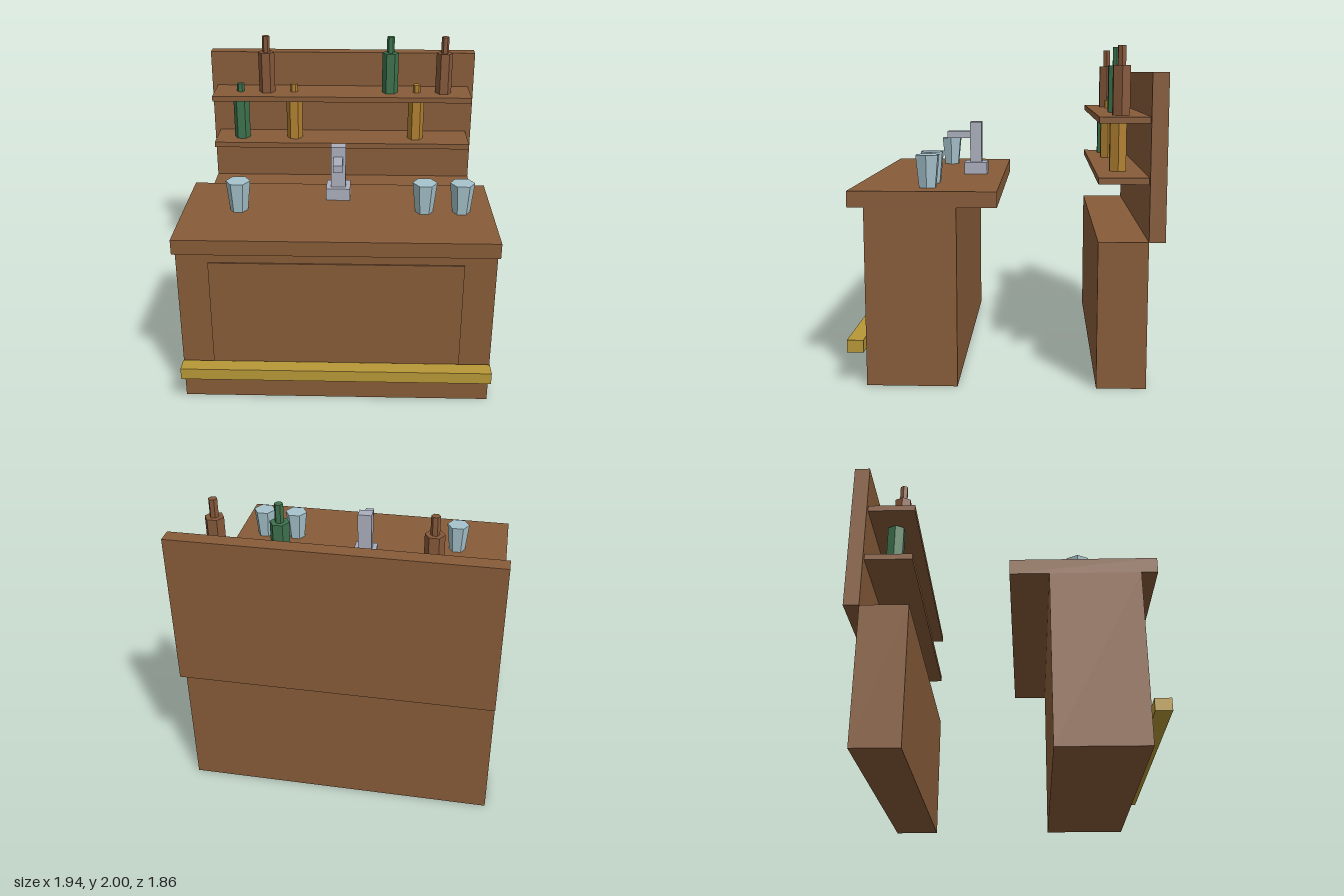
import * as THREE from 'three';

const material = (name, color, extra = {}) => {
  const m = new THREE.MeshStandardMaterial({ color, ...extra });
  m.name = name;
  return m;
};

export function createModel() {
  const wood = material('wood', 0x885c39);
  const brass = material('brass', 0xb89838);
  const metal = material('metal', 0xabafbd);
  const glass = material('pale glass', 0xa6c3cc);
  const green = material('green glass', 0x3e724d);
  const amber = material('amber glass', 0xb08030);
  const brown = material('brown glass', 0x85583a);

  const root = new THREE.Group();
  root.name = 'barCounter';

  const group = (name, parent = root) => {
    const g = new THREE.Group();
    g.name = name;
    parent.add(g);
    return g;
  };

  // Box given by its width (centred on x = 0) and its y and z ranges
  const box = (name, parent, mat, width, y0, y1, z0, z1) => {
    const mesh = new THREE.Mesh(new THREE.BoxGeometry(width, y1 - y0, z1 - z0), mat);
    mesh.name = name;
    mesh.position.set(0, (y0 + y1) / 2, (z0 + z1) / 2);
    parent.add(mesh);
  };

  // Flat-sided hexagonal prism with corners pointing along x
  const hex = (name, parent, mat, rTop, rBottom, y0, y1) => {
    const geo = new THREE.CylinderGeometry(rTop, rBottom, y1 - y0, 6)
      .rotateY(Math.PI / 2).toNonIndexed();
    geo.computeVertexNormals();
    const mesh = new THREE.Mesh(geo, mat);
    mesh.name = name;
    mesh.position.y = (y0 + y1) / 2;
    parent.add(mesh);
  };

  // Front counter with raised panel and foot rail
  const counter = group('counter');
  box('counterBody', counter, wood, 1.94, 0, 1.07, 0.275, 0.815);
  box('counterTop', counter, wood, 1.94, 1.07, 1.165, 0.04, 0.912);
  box('frontPanel', counter, wood, 1.55, 0.235, 0.97, 0.815, 0.824);
  box('footRail', counter, brass, 1.94, 0.2, 0.275, 0.832, 0.93);

  // Back cabinet, backboard and shelves
  const backBar = group('backBar');
  box('cabinet', backBar, wood, 1.94, 0, 0.875, -0.835, -0.543);
  box('backboard', backBar, wood, 1.94, 0.875, 1.845, -0.93, -0.835);
  const shelfTops = [1.243, 1.593];
  for (const y of shelfTops) box('shelf', backBar, wood, 1.86, y - 0.038, y, -0.835, -0.543);

  // Bottles: x, shelf index, colour (lower necks pass through the upper shelf)
  const bottles = [
    [-0.74, 0, green], [-0.35, 0, amber], [0.543, 0, amber],
    [-0.545, 1, brown], [0.348, 1, green], [0.735, 1, brown],
  ];
  for (const [x, shelf, mat] of bottles) {
    const bottle = group('bottle');
    bottle.position.set(x, shelfTops[shelf], -0.682);
    hex('bottleBody', bottle, mat, 0.058, 0.058, 0, 0.292);
    hex('bottleNeck', bottle, mat, 0.027, 0.027, 0.292, 0.407);
  }

  // Tapered glasses on the counter
  for (const x of [-0.62, 0.543, 0.775]) {
    const cup = group('drinkingGlass');
    cup.position.set(x, 1.165, 0.463);
    hex('glassBody', cup, glass, 0.077, 0.056, 0, 0.195);
  }

  // Beer tap
  const tap = group('tap');
  box('tapBase', tap, metal, 0.154, 1.165, 1.243, 0.154, 0.308);
  box('tapColumn', tap, metal, 0.095, 1.243, 1.513, 0.193, 0.27);
  box('tapSpout', tap, metal, 0.058, 1.402, 1.45, 0.27, 0.424);

  return root;
}
